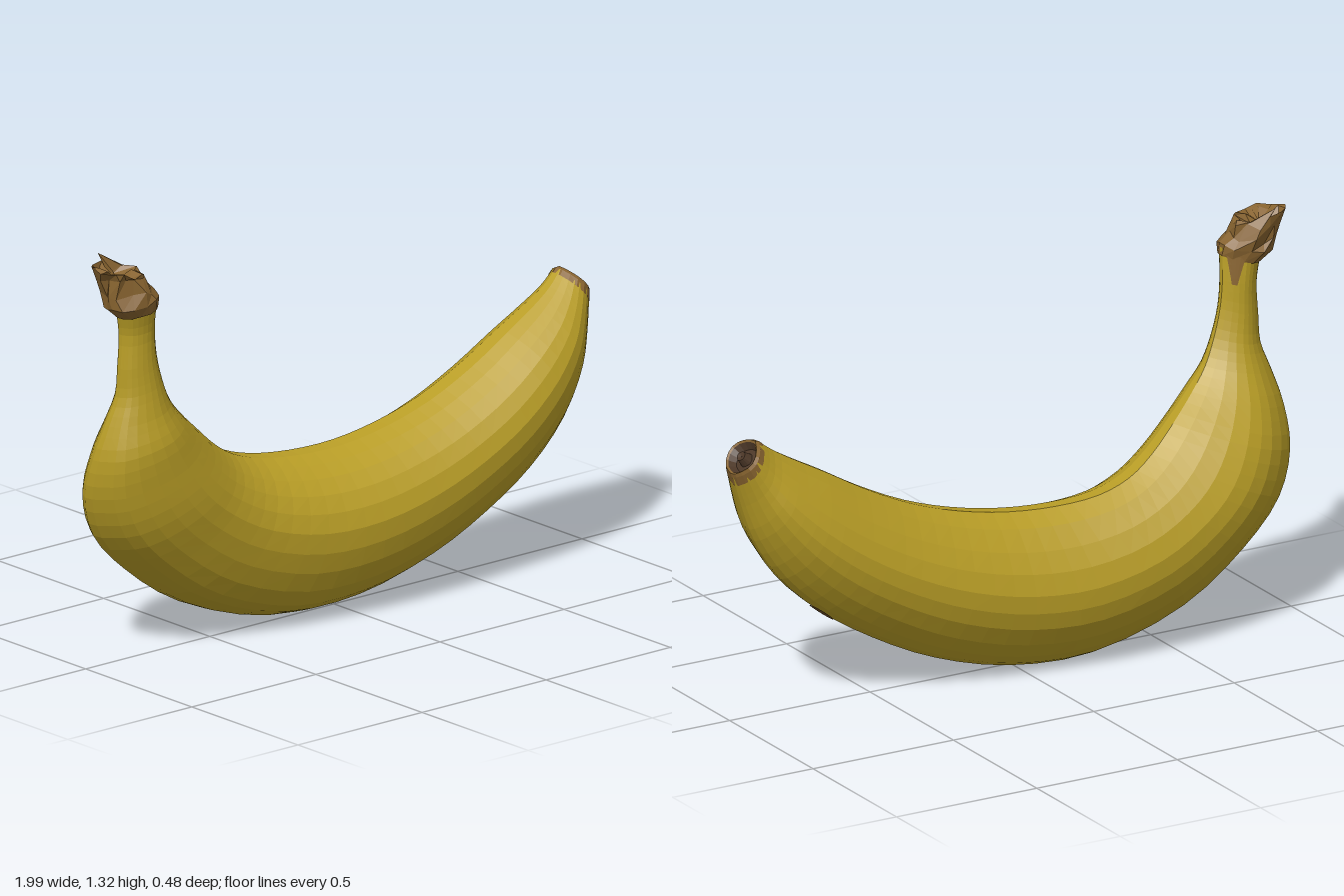
import * as THREE from 'three';

const mat = (name, color, side = THREE.FrontSide) =>
  Object.assign(new THREE.MeshStandardMaterial({ color, flatShading: true, side }), { name });

// Stations from stem to tip: inner x, inner y, outer x, outer y, centre z, half depth
const STATIONS = [
  [-0.79, 1.18, -0.92, 1.13, 0.07, 0.065], [-0.785, 1.08, -0.905, 1.06, 0.06, 0.055],
  [-0.775, 0.99, -0.91, 0.95, 0.058, 0.055], [-0.75, 0.9, -0.915, 0.86, 0.055, 0.065],
  [-0.71, 0.82, -0.945, 0.77, 0.045, 0.09], [-0.65, 0.755, -0.975, 0.66, 0.03, 0.13],
  [-0.56, 0.68, -0.975, 0.53, 0, 0.165], [-0.47, 0.605, -0.92, 0.39, -0.02, 0.19],
  [-0.38, 0.55, -0.78, 0.25, -0.035, 0.2], [-0.27, 0.515, -0.56, 0.1, -0.037, 0.205],
  [-0.13, 0.5, -0.25, 0, -0.02, 0.208], [0.03, 0.505, 0.03, 0.005, 0, 0.21],
  [0.2, 0.535, 0.29, 0.075, 0.014, 0.21], [0.36, 0.585, 0.5, 0.175, 0.025, 0.207],
  [0.52, 0.66, 0.68, 0.29, 0.033, 0.2], [0.66, 0.74, 0.82, 0.42, 0.035, 0.18],
  [0.77, 0.8, 0.91, 0.56, 0.032, 0.145], [0.845, 0.845, 0.955, 0.68, 0.025, 0.105],
  [0.9, 0.885, 0.99, 0.785, 0.01, 0.075],
];
const innerLine = new THREE.CatmullRomCurve3(STATIONS.map(s => new THREE.Vector3(s[0], s[1], s[4])));
const outerLine = new THREE.CatmullRomCurve3(STATIONS.map(s => new THREE.Vector3(s[2], s[3], s[5])));

// Rounded five-sided cross-section, from the inner ridge round by the front
const profile = new THREE.CatmullRomCurve3([
  [1, -0.2], [0.9, 0.3], [0.62, 0.75], [0.2, 1], [-0.3, 0.93], [-0.75, 0.62],
  [-0.93, 0.2], [-1, -0.2], [-0.8, -0.55], [-0.35, -0.93], [0.1, -1], [0.6, -0.72],
].map(([u, w]) => new THREE.Vector3(u, w, 0)), true);

// Point on a station's section
function sectionPoint([xi, yi, xo, yo, z, d], t, scale = 1) {
  const p = profile.getPoint(((t % 1) + 1) % 1).multiplyScalar(scale);
  return new THREE.Vector3(
    (xi + xo) / 2 + (xi - xo) / 2 * p.x, (yi + yo) / 2 + (yi - yo) / 2 * p.x, z + d * p.y);
}

function stationAt(s) {
  const a = innerLine.getPoint(s), b = outerLine.getPoint(s);
  return [a.x, a.y, b.x, b.y, a.z, b.z];
}

const ring = (station, sides, scale = 1) =>
  Array.from({ length: sides }, (_, j) => sectionPoint(station, j / sides, scale));

// Skin over rows of points
function loft(rows, closed = true) {
  const n = rows[0].length, index = [];
  for (let i = 0; i < rows.length - 1; i++) {
    for (let j = 0; j < (closed ? n : n - 1); j++) {
      const a = i * n + j, b = i * n + (j + 1) % n;
      index.push(a, b, a + n, b, b + n, a + n);
    }
  }
  const g = new THREE.BufferGeometry().setFromPoints(rows.flat());
  g.setIndex(index);
  g.computeVertexNormals();
  return g;
}

export function createModel() {
  const group = new THREE.Group();
  const yellow = mat('peel yellow', 0xb89d26);
  const brown = mat('stem brown', 0x87632f, THREE.DoubleSide);
  const dark = mat('tip dark brown', 0x4d3828, THREE.DoubleSide);
  const bruise = mat('bruise brown', 0x66491f, THREE.DoubleSide);
  const add = (name, geometry, material) => {
    const mesh = new THREE.Mesh(geometry, material);
    mesh.name = name;
    group.add(mesh);
  };
  let seed = 7;
  const rnd = () => (seed = (seed * 16807) % 2147483647) / 2147483647 - 0.5;

  // Curved peel with the slim stem
  const SIDES = 24, STEPS = 54;
  add('peel', loft(Array.from({ length: STEPS + 1 }, (_, i) => ring(stationAt(i / STEPS), SIDES))), yellow);

  // Torn stem end: flared collar, ragged crown and hollow top
  const capRows = [
    [[-0.784, 1.155, -0.925, 1.12, 0.07, 0.068], 0.004],
    [[-0.785, 1.195, -0.965, 1.15, 0.066, 0.083], 0.018],
    [[-0.81, 1.215, -0.965, 1.195, 0.062, 0.076], 0.022],
    [[-0.825, 1.25, -0.98, 1.245, 0.056, 0.075], 0.022],
    [[-0.84, 1.255, -0.99, 1.285, 0.052, 0.08], 0.03],
    [[-0.87, 1.255, -0.97, 1.275, 0.052, 0.05], 0.03],
    [[-0.915, 1.245, -0.925, 1.245, 0.055, 0.004], 0],
  ].map(([station, rough]) => ring(station, 14).map(p =>
    p.add(new THREE.Vector3(rnd(), rnd(), rnd()).multiplyScalar(rough))));
  capRows[4][12].set(-0.93, 1.31, -0.025);
  add('stemEnd', loft(capRows), brown);

  // Brown streak running down the back of the stem
  const streak = Array.from({ length: 6 }, (_, i) => Array.from({ length: 5 }, (_, j) =>
    sectionPoint(stationAt(i * 0.012), 0.91 + (j / 4 - 0.5) * (0.13 - i * 0.018), 1.02)));
  add('stemStreak', loft(streak, false), brown);

  // Oval bruise on the outer ridge
  const bruiseRows = [0.01, 0.5, 1].map(r => Array.from({ length: 16 }, (_, j) => {
    const a = j / 16 * Math.PI * 2;
    return sectionPoint(stationAt(0.778 + 0.014 * r * Math.cos(a)), 0.588 + 0.018 * r * Math.sin(a), 1.012);
  }));
  add('bruise', loft(bruiseRows), bruise);

  // Blossom end: brown rim and dark sunken scar
  const end = stationAt(1);
  const shifted = (d) => end.map((v, k) => v + [d * 0.74, d * 0.67, d * 0.74, d * 0.67, 0, 0][k]);
  add('tipRim', loft([
    ring(stationAt(0.984), 16, 1.012), ring(end, 16, 1.02),
    ring(shifted(0.01), 16, 0.92), ring(shifted(0.006), 16, 0.82),
  ]), brown);
  add('tipScar', loft([
    ring(shifted(0.006), 16, 0.84), ring(shifted(-0.016), 16, 0.6),
    ring(shifted(-0.014), 16, 0.35), ring(shifted(0.012), 16, 0.24), ring(shifted(0.008), 16, 0.01),
  ]), dark);
  return group;
}
